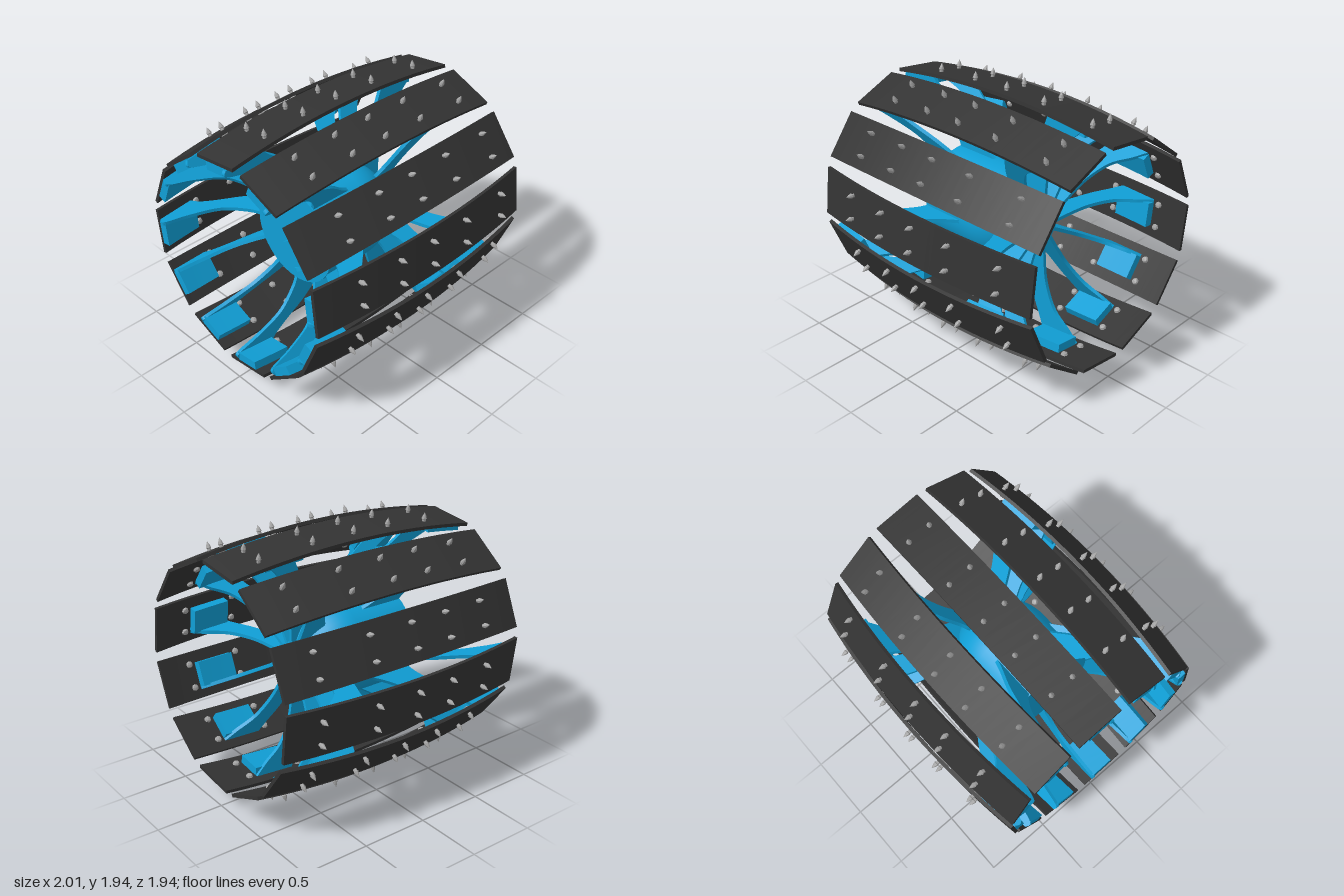
import * as THREE from 'three';

const COUNT = 12;
const RADIUS = 0.898;      // outer radius of the planks at mid length
const SAG = 0.08;          // how far the plank ends drop towards the axle
const THICK = 0.025;
const TWIST = -7 * Math.PI / 180; // planks sit slightly ahead of their arms
const surface = (x) => RADIUS - SAG * x * x;

// Box whose top follows the barrel curve, offset inwards by "inset"
function curvedBox(x0, x1, inset, height, depth) {
  const geo = new THREE.BoxGeometry(x1 - x0, height, depth, Math.ceil((x1 - x0) * 12), 1, 1);
  geo.translate((x0 + x1) / 2, -inset - height / 2, 0);
  const p = geo.attributes.position;
  for (let i = 0; i < p.count; i++) p.setY(i, p.getY(i) + surface(p.getX(i)));
  geo.computeVertexNormals();
  return geo;
}

// Thin blade in the plane of the axle: two curved edges joined at root and pad
function armGeometry(outer, inner) {
  const vec = (list) => list.map(([x, y]) => new THREE.Vector2(x, y));
  const a = vec(outer), b = vec(inner).reverse();
  const shape = new THREE.Shape();
  shape.moveTo(a[0].x, a[0].y);
  shape.splineThru(a.slice(1));
  shape.lineTo(b[0].x, b[0].y);
  shape.splineThru(b.slice(1));
  shape.closePath();
  const geo = new THREE.ExtrudeGeometry(shape, { depth: 0.026, bevelEnabled: false, curveSegments: 14 });
  return geo.translate(0, 0, -0.013);
}

export function createModel() {
  const rubber = new THREE.MeshStandardMaterial({ color: 0x333333 });
  rubber.name = 'dark plank';
  const blue = new THREE.MeshStandardMaterial({ color: 0x109fd6 });
  blue.name = 'blue frame';
  const steel = new THREE.MeshStandardMaterial({ color: 0xa3a3a3, flatShading: true });
  steel.name = 'steel spike';

  const model = new THREE.Group();
  model.name = 'spikedWheel';
  const wheel = new THREE.Group();
  wheel.name = 'wheel';
  wheel.position.y = 0.985;
  model.add(wheel);

  const add = (parent, name, geo, mat) => {
    const mesh = new THREE.Mesh(geo, mat);
    mesh.name = name;
    parent.add(mesh);
    return mesh;
  };

  // Hub: cylinder closed at the back, rounded off towards +x
  const dome = [];
  for (let i = 0; i <= 16; i++) {
    const t = i / 16 * Math.PI / 2;
    dome.push(new THREE.Vector2(0.365 * Math.cos(t), 0.365 * Math.sin(t)));
  }
  dome[16].x = 0;
  const hubShell = new THREE.LatheGeometry([new THREE.Vector2(0.365, -0.44), ...dome], 48);
  add(wheel, 'hub', hubShell.rotateZ(-Math.PI / 2), blue);
  const back = add(wheel, 'hubBack', new THREE.CircleGeometry(0.365, 48), blue);
  back.rotation.y = -Math.PI / 2;
  back.position.x = -0.44;
  const boss = add(wheel, 'hubBoss', new THREE.CylinderGeometry(0.115, 0.115, 0.08, 24), blue);
  boss.rotation.z = -Math.PI / 2;
  boss.position.x = 0.345;

  // Shared part geometries
  const plank = curvedBox(-1, 1, 0, THICK, 0.355);
  const leftPad = curvedBox(0.4, 0.7, THICK, 0.065, 0.185);
  const rightPad = curvedBox(-1, -0.7, THICK, 0.065, 0.185);
  const leftArm = armGeometry(
    [[0.38, 0.06], [0.385, 0.25], [0.41, 0.45], [0.49, 0.64], [0.62, 0.755], [0.7, 0.835]],
    [[0.2, 0.06], [0.2, 0.28], [0.25, 0.42], [0.3, 0.6], [0.36, 0.75], [0.4, 0.86]]);
  const rightArm = armGeometry(
    [[-0.42, 0.33], [-0.47, 0.45], [-0.6, 0.6], [-0.82, 0.69], [-1, 0.74], [-1, 0.79]],
    [[-0.05, 0.33], [-0.18, 0.42], [-0.36, 0.58], [-0.56, 0.7], [-0.66, 0.77], [-0.7, 0.83]]);
  const spike = new THREE.LatheGeometry([
    [0, -0.045], [0.02, -0.04], [0.026, -0.025], [0.014, -0.02], [0.014, 0.02],
    [0.019, 0.025], [0.013, 0.045], [0, 0.072],
  ].map(([r, y]) => new THREE.Vector2(r, y)), 8);

  for (let i = 0; i < COUNT; i++) {
    const angle = i / COUNT * Math.PI * 2;

    // Arms lie exactly on the spokes
    const spoke = new THREE.Group();
    spoke.name = 'spoke';
    spoke.rotation.x = angle;
    wheel.add(spoke);
    add(spoke, 'leftArm', leftArm, blue);
    add(spoke, 'rightArm', rightArm, blue);

    // Plank with its mounting pads and spikes
    const tread = new THREE.Group();
    tread.name = 'tread';
    tread.rotation.x = angle + TWIST;
    wheel.add(tread);
    add(tread, 'plank', plank, rubber);
    add(tread, 'leftPad', leftPad, blue);
    add(tread, 'rightPad', rightPad, blue);
    for (const x of [-0.65, -0.31, -0.01, 0.33, 0.75]) {
      for (const z of [-0.088, 0.088]) {
        add(tread, 'spike', spike, steel).position.set(x, surface(x) - 0.005, z);
      }
    }
  }
  return model;
}
